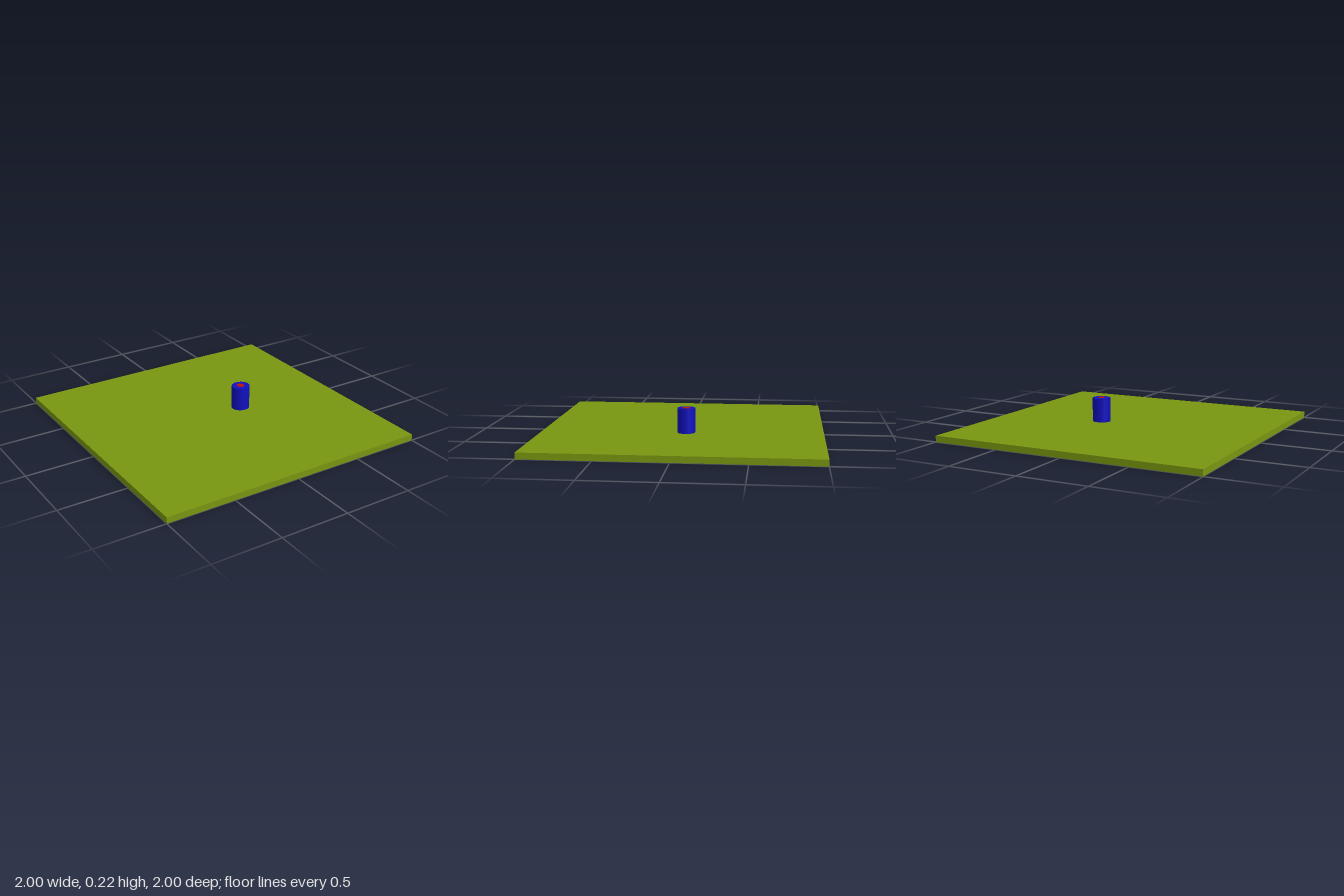
import * as THREE from 'three';

const BASE_TOP = 0.045;
const POST_TOP = 0.22;

function addPart(group, name, geometry, color, x, y, z) {
  const mesh = new THREE.Mesh(geometry, new THREE.MeshStandardMaterial({ color }));
  mesh.name = name;
  mesh.position.set(x, y, z);
  group.add(mesh);
}

// Upright cylinder with a slightly oval footprint
function ovalCylinder(rx, rz, height) {
  return new THREE.CylinderGeometry(1, 1, height, 48).scale(rx, 1, rz);
}

export function createModel() {
  const model = new THREE.Group();
  model.name = 'postOnPlate';

  // Thin square ground plate
  addPart(model, 'basePlate', new THREE.BoxGeometry(2, BASE_TOP, 2), 0x789610, 0, BASE_TOP / 2, 0);

  // Post standing off centre on the plate
  const height = POST_TOP - BASE_TOP;
  const midY = BASE_TOP + height / 2;
  addPart(model, 'post', ovalCylinder(0.067, 0.063, height), 0x1010c0, 0.23, midY, -0.03);

  // Core running through the post, just showing at its top
  addPart(model, 'core', ovalCylinder(0.025, 0.03, height + 0.002), 0xc01010, 0.23, midY + 0.001, -0.03);

  return model;
}
